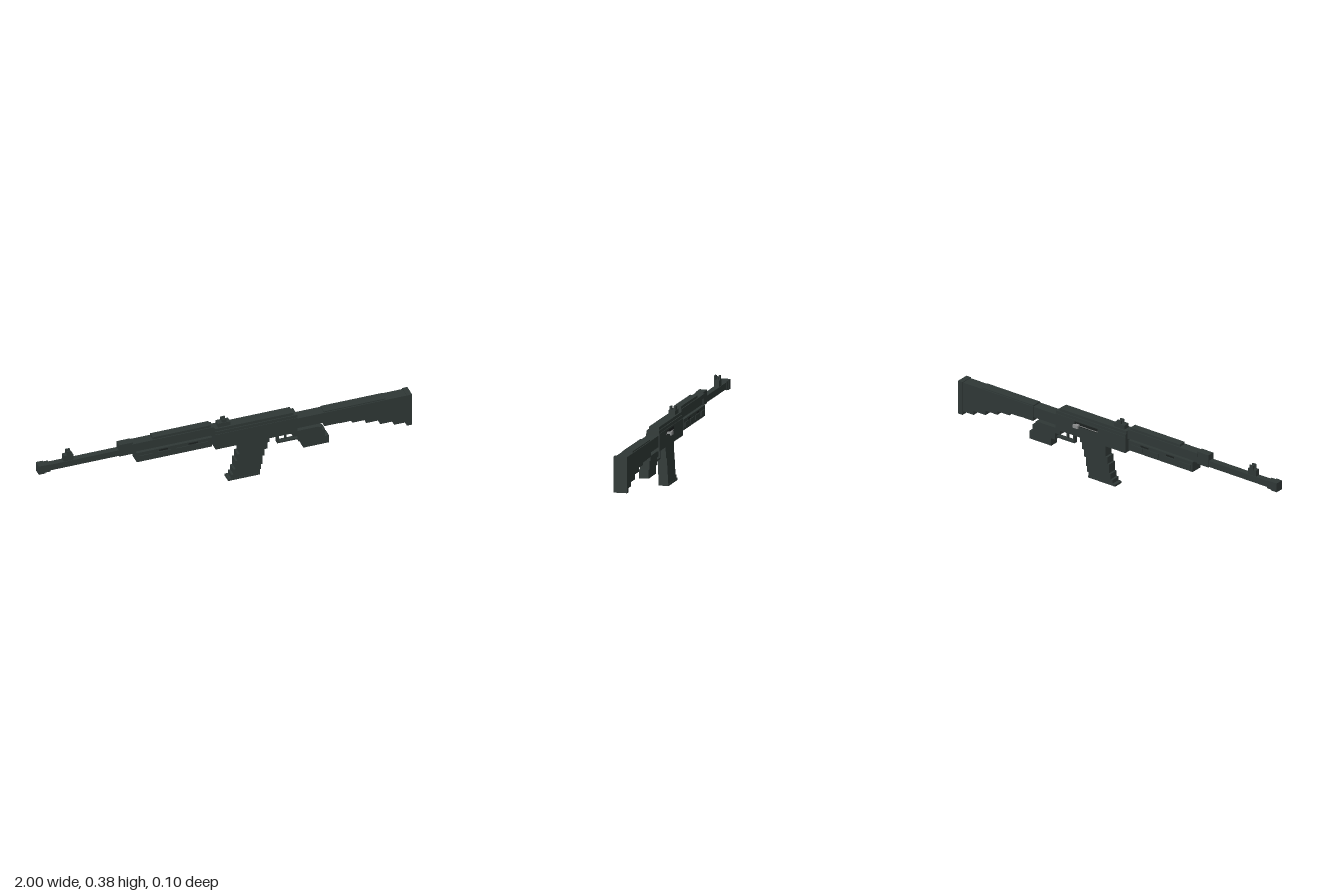
import * as THREE from 'three';

export function createModel() {
  const model = new THREE.Group();
  const gunmetal = new THREE.MeshStandardMaterial({ color: 0x2f3836 });
  gunmetal.name = 'gunmetal';
  const black = new THREE.MeshStandardMaterial({ color: 0x1c2120 });
  black.name = 'black';
  const steel = new THREE.MeshStandardMaterial({ color: 0x8c8e8e });
  steel.name = 'steel';
  const MID = 0.0135; // centre plane of the body

  // Box from its x and y limits and its width, centred on the body plane
  function box(name, x0, x1, y0, y1, width, z = MID, material = gunmetal) {
    const mesh = new THREE.Mesh(new THREE.BoxGeometry(x1 - x0, y1 - y0, width), material);
    mesh.position.set((x0 + x1) / 2, (y0 + y1) / 2, z);
    mesh.name = name;
    model.add(mesh);
    return mesh;
  }
  // Rows of [x0, x1, y0, y1] sharing a width
  const steps = (name, width, rows) => rows.forEach((r) => box(name, ...r, width));

  // Barrel and muzzle
  box('muzzle', -1, -0.965, 0.28, 0.33, 0.044);
  box('muzzleCollar', -0.965, -0.937, 0.283, 0.327, 0.038);
  box('barrel', -0.94, -0.04, 0.288, 0.322, 0.032);
  box('gasBlock', -0.568, -0.495, 0.286, 0.355, 0.04);

  // Front sight with a pair of ears
  box('frontSightBase', -0.862, -0.812, 0.32, 0.356, 0.026);
  for (const s of [-1, 1]) box('frontSightEar', -0.846, -0.823, 0.352, 0.378, 0.008, MID + s * 0.011);
  box('frontSightPost', -0.84, -0.829, 0.352, 0.372, 0.006);

  // Handguards
  box('upperHandguard', -0.5, -0.06, 0.326, 0.347, 0.05);
  box('upperHandguardRidge', -0.387, -0.075, 0.345, 0.36, 0.04);
  box('lowerHandguard', -0.478, -0.073, 0.238, 0.293, 0.066);
  for (let i = 0; i < 4; i++) {
    const x = -0.465 + i * 0.1;
    box('handguardRib', x, x + 0.07, 0.25, 0.275, 0.074);
  }
  for (const s of [-1, 1]) {
    for (const x of [-0.36, -0.2]) {
      box('handguardSlot', x, x + 0.05, 0.279, 0.287, 0.003, MID + s * 0.033, black);
    }
  }

  // Receiver and top cover
  box('receiver', -0.055, 0.385, 0.215, 0.304, 0.07);
  box('receiverShoulder', -0.055, 0.385, 0.3, 0.32, 0.064);
  box('receiverCover', -0.055, 0.365, 0.316, 0.335, 0.054);

  // Rear sight
  box('rearSightBase', -0.036, 0.03, 0.333, 0.357, 0.036);
  for (const s of [-1, 1]) box('rearSightEar', -0.012, 0.011, 0.355, 0.375, 0.009, MID + s * 0.011);

  // Charging slot and handle on the back side
  box('chargingSlot', 0.12, 0.265, 0.275, 0.297, 0.002, -0.0223, black);
  box('chargingRail', 0.12, 0.265, 0.279, 0.283, 0.003, -0.0225, steel);
  box('chargingStem', 0.232, 0.25, 0.279, 0.289, 0.024, -0.032, steel);
  box('chargingKnob', 0.225, 0.257, 0.275, 0.293, 0.008, -0.045, steel);

  // Stepped magazine
  steps('magazine', 0.05, [
    [0.078, 0.238, 0.185, 0.22],
    [0.078, 0.227, 0.148, 0.187],
    [0.066, 0.212, 0.11, 0.15],
    [0.056, 0.2, 0.06, 0.112],
    [0.045, 0.193, 0.03, 0.062],
    [0.033, 0.186, 0.008, 0.032],
  ]);
  box('magazineBase', 0.015, 0.186, 0, 0.011, 0.054);

  // Trigger and guard
  box('triggerGuardFront', 0.284, 0.293, 0.156, 0.216, 0.024);
  box('triggerGuardBar', 0.284, 0.405, 0.156, 0.165, 0.024);
  box('trigger', 0.327, 0.337, 0.168, 0.216, 0.012);

  // Stepped pistol grip
  steps('grip', 0.05, [
    [0.365, 0.5, 0.185, 0.216],
    [0.395, 0.52, 0.18, 0.212],
    [0.395, 0.537, 0.148, 0.192],
    [0.42, 0.557, 0.106, 0.15],
  ]);

  // Stock with a stair-stepped underside
  box('stockNeck', 0.38, 0.535, 0.236, 0.295, 0.058);
  box('stockTop', 0.53, 0.86, 0.29, 0.302, 0.052);
  steps('stock', 0.062, [
    [0.53, 0.61, 0.215, 0.296],
    [0.61, 0.68, 0.213, 0.296],
    [0.68, 0.755, 0.2, 0.296],
    [0.755, 0.83, 0.18, 0.296],
    [0.83, 0.905, 0.155, 0.296],
    [0.905, 0.975, 0.133, 0.296],
  ]);
  box('buttPlate', 0.972, 1, 0.114, 0.299, 0.071);

  return model;
}
